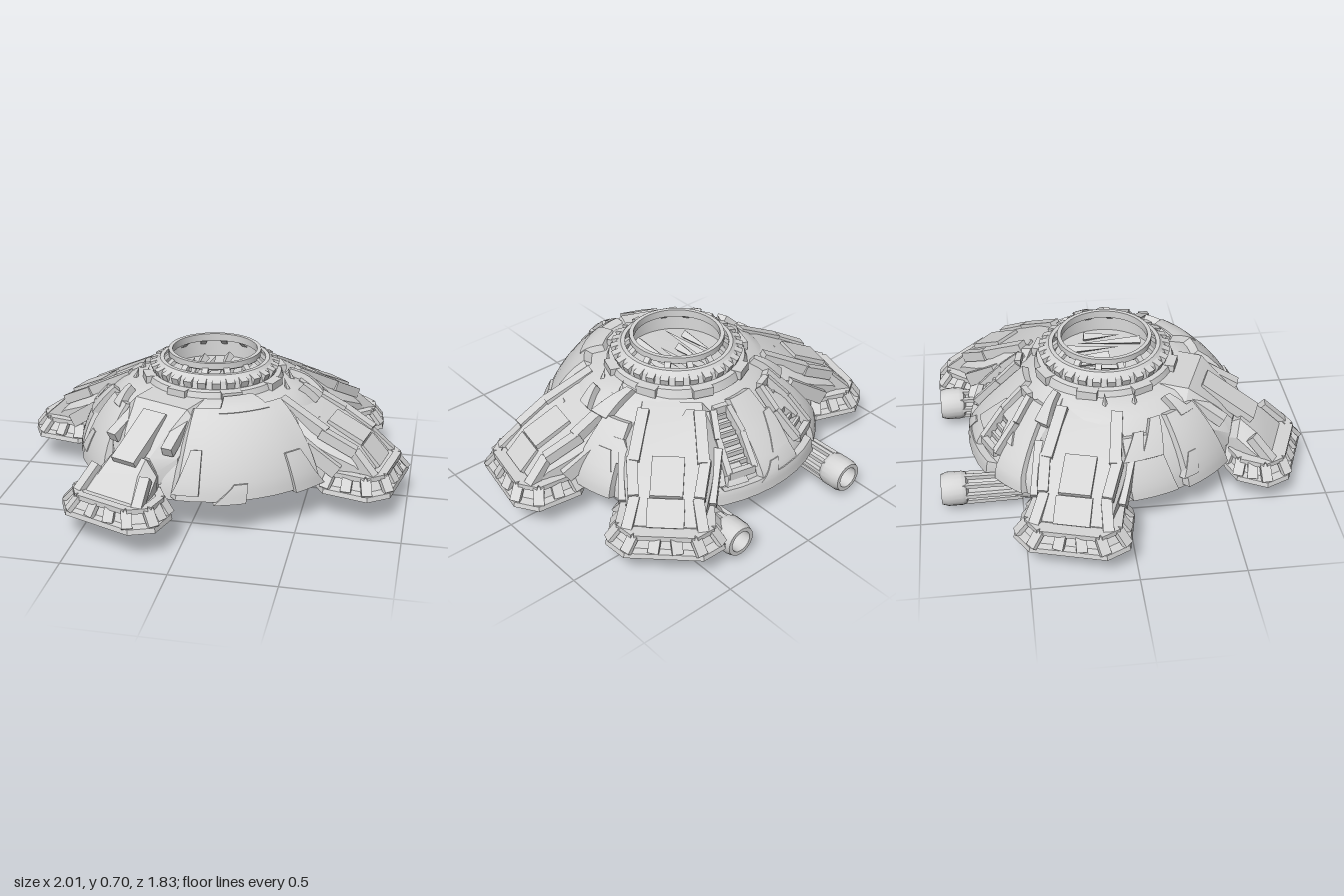
import * as THREE from 'three';
import { toCreasedNormals } from 'three/addons/utils/BufferGeometryUtils.js';

const rad = THREE.MathUtils.degToRad;
const V = (x, y, z) => new THREE.Vector3(x, y, z);

export function createModel() {
  const grey = new THREE.MeshStandardMaterial({ color: 0xd6d6d6 });
  grey.name = 'armorGrey';
  const red = new THREE.MeshStandardMaterial({ color: 0xe3655a });
  red.name = 'coreRed';

  const model = new THREE.Group();
  model.name = 'hoverBase';
  const hull = new THREE.Group();
  hull.name = 'hull';
  hull.position.z = -0.05;
  model.add(hull);

  function add(parent, geo, name, mat = grey, crease = 0.45) {
    const m = new THREE.Mesh(toCreasedNormals(geo, crease), mat);
    m.name = name;
    parent.add(m);
    return m;
  }

  // Geometry from a grid of points; turned outward by its signed volume
  function skin(rows, closed) {
    const n = rows[0].length, pts = rows.flat();
    let idx = [];
    for (let r = 0; r < rows.length - 1; r++)
      for (let i = 0; i < (closed ? n : n - 1); i++) {
        const j = (i + 1) % n, a = r * n + i, b = r * n + j;
        idx.push(a, b, b + n, a, b + n, a + n);
      }
    if (closed) {
      const last = (rows.length - 1) * n;
      for (let i = 1; i < n - 1; i++) idx.push(0, i + 1, i, last, last + i, last + i + 1);
    }
    let vol = 0;
    for (let i = 0; i < idx.length; i += 3)
      vol += pts[idx[i]].dot(V(0, 0, 0).crossVectors(pts[idx[i + 1]], pts[idx[i + 2]]));
    if (vol < 0) idx = idx.reverse();
    const g = new THREE.BufferGeometry().setFromPoints(pts);
    g.setIndex(idx);
    g.computeVertexNormals();
    return g;
  }

  // Box bar running from p to q
  function bar(parent, p, q, w, h, name) {
    const m = add(parent, new THREE.BoxGeometry(w, h, p.distanceTo(q)), name);
    m.position.copy(p).lerp(q, 0.5);
    m.quaternion.setFromRotationMatrix(new THREE.Matrix4().lookAt(q, p, V(0, 1, 0)));
  }

  // Dome surface: angle in degrees, t from rim (0) to crown (1), offset outward
  const curve = pts => new THREE.CatmullRomCurve3(pts.map(p => V(p[0], p[1], 0)));
  const frontCurve = curve([[1, .18], [.985, .25], [.92, .355], [.81, .46], [.67, .54], [.46, .57]]);
  const backCurve = curve([[1, .16], [.985, .23], [.87, .33], [.73, .42], [.6, .5], [.46, .57]]);
  function dome(deg, t, off = 0) {
    const a = rad(deg), back = Math.max(0, -Math.sin(a));
    const p = frontCurve.getPoint(t).lerp(backCurve.getPoint(t), back);
    const R = 0.67 + 0.012 * Math.cos(3 * a + 1);
    const r = p.x * R + off * (1 - 0.7 * t);
    return V(r * Math.cos(a), p.y + off * Math.min(.8, t), r * Math.sin(a));
  }
  const domeRows = [];
  for (let k = 0; k <= 12; k++)
    domeRows.push(Array.from({ length: 40 }, (_, i) => dome(i * 9, k / 12)));
  add(hull, skin(domeRows, true), 'domeShell');

  // Raised armour plate with bevelled border, optionally skewed around the dome
  function plate(a0, a1, t0, t1, off, name, skew = 0, taper = 0) {
    const n = 10, rows = [];
    const f = i => i === 0 ? 0 : i === n ? 1 : 0.05 + 0.9 * (i - 1) / (n - 2);
    for (let r = 0; r <= n; r++) {
      const row = [], v = f(r), mid = (a0 + a1) / 2 + skew * v;
      for (let c = 0; c <= n; c++) {
        const edge = r === 0 || c === 0 || r === n || c === n;
        row.push(dome(mid + (f(c) - 0.5) * (a1 - a0) * (1 - taper * v), t0 + (t1 - t0) * v, edge ? -0.01 : off));
      }
      rows.push(row);
    }
    add(hull, skin(rows, false), name);
  }
  plate(28, 97, 0, .84, .035, 'frontArmor', 0, .12);
  plate(29, 46, .0, .42, .05, 'frontArmorStep', 6, .5);
  plate(66, 80, .0, .24, .047, 'frontArmorStep', -5, .6);
  plate(84, 96, .1, .5, .047, 'frontArmorStep', -4, .6);
  plate(44, 78, .74, .93, .037, 'frontCollar', 0, .3);
  plate(126, 152, 0, .72, .035, 'rightFrontArmor', 4, .2);
  plate(154, 176, .03, .62, .03, 'rightSideArmor', 5, .2);
  plate(219, 236, 0, .8, .03, 'backSideArmor', 3, .3);
  plate(252, 275, 0, .85, .035, 'backArmor', 0, .1);
  plate(237, 302, 0, .2, .04, 'backSkirt');
  plate(336, 358, 0, .7, .035, 'leftSideArmor', -4, .3);
  plate(290, 303, .2, .8, .03, 'backSideArmor', -2, .2);
  // Small overlapping plates
  let seed = 7;
  const rnd = () => (seed = (seed * 16807) % 2147483647) / 2147483647;
  for (let i = 0; i < 30; i++) {
    const a = i * 12 + rnd() * 4, t = .08 + rnd() * .6;
    if (a > 24 && a < 126) continue;
    plate(a, a + 6 + rnd() * 8, t, t + .14 + rnd() * .18, .04, 'detailPlate', rnd() * 16 - 8, .5);
  }
  // Slatted vents on the back
  for (const a of [243, 283]) {
    const c = [[-6, .3], [6, .3], [7, .55], [5, .76], [-5, .76], [-7, .55]].map(p => dome(a + p[0], p[1], .045));
    c.forEach((p, i) => bar(hull, p, c[(i + 1) % 6], .03, .04, 'ventFrame'));
    for (let k = 0; k < 6; k++)
      bar(hull, dome(a - 5, .36 + k * .07, .02), dome(a + 5, .36 + k * .07, .02), .014, .025, 'ventSlat');
  }

  // Toothed crown collar, and a raised band standing inside it
  const lathe = (pts, n) => new THREE.LatheGeometry(pts.map(p => new THREE.Vector2(...p)), n);
  add(hull, lathe([[.35, .55], [.335, .593], [.31, .598], [.3, .635], [.275, .66], [.255, .66], [.25, .565]], 48), 'crownCollar');
  add(hull, lathe([[.222, .665], [.232, .672], [.232, .703], [.212, .703], [.212, .665], [.222, .665]], 48), 'crownBand');
  for (let i = 0; i < 28; i++) {
    const a = i / 28 * Math.PI * 2, C = Math.cos(a), S = Math.sin(a);
    const t = add(hull, new THREE.BoxGeometry(.05, .035, .04), 'crownTooth');
    t.position.set(.295 * C, .626, .295 * S);
    t.rotation.set(0, -a, -.35, 'YXZ');
    if (i % 2) bar(hull, V(.262 * C, .64, .262 * S), V(.22 * C, .675, .22 * S), .03, .02, 'crownStrut');
  }
  for (let i = 0; i < 8; i++) {
    const a = rad(20 + i * 45);
    const b = add(hull, new THREE.BoxGeometry(.05, .045, .1), 'crownClamp');
    b.position.set(.335 * Math.cos(a), .575, .335 * Math.sin(a));
    b.rotation.y = -a;
  }
  // Blades lying inside the crown
  [[-.13, -.02, .22], [-.08, .03, .32], [-.03, -.08, .2], [.04, -.05, .26], [.09, .03, .32], [.15, 0, .18]].forEach(([x, z, l], i) => {
    const b = add(hull, new THREE.ConeGeometry(.026, l, 4), 'crownBlade');
    b.position.set(x, .595, z);
    b.rotation.x = (i % 2 ? 1 : -1) * Math.PI / 2;
  });
  // Upright fins on both shoulders
  for (const s of [-1, 1]) for (const z of [-.04, .1]) {
    const fin = add(hull, new THREE.ConeGeometry(.026, .12, 4), 'shoulderFin');
    fin.position.set(.385 * s, .55, z);
    fin.rotation.z = .3 * s;
  }

  // Legs: +x is outward, z is sideways
  function leg(deg, neck, reach) {
    const g = new THREE.Group();
    g.name = 'leg';
    g.rotation.y = -rad(deg);
    g.position.set(reach * Math.cos(rad(deg)), 0, reach * Math.sin(rad(deg)));
    hull.add(g);
    const inner = neck ? .07 : 0;
    const half = [[.975, .175], [.89, .265], [.67 + inner, .25], [.59 + inner, .16]];
    const footLine = [...half.map(([u, v]) => [u, -v]), ...half.reverse()];
    const ring = (s, y) => footLine.map(([u, v]) => V(.76 + (u - .76) * s, y, v * s));
    add(g, skin([ring(.98, .13), ring(1.03, .136), ring(1.01, .16), ring(.86, .165), ring(.7, .235)], true), 'footPad');
    // Open window frame around the sloping skirt
    const lo = ring(.98, .16), hi = ring(.78, .226);
    for (let i = 0; i < 8; i++) {
      const j = (i + 1) % 8;
      if (i === 3) continue;
      bar(g, hi[i], hi[j], .04, .025, 'footTopRim');
      const posts = i === 7 ? [0, .36, .68] : i === 1 || i === 5 ? [0, .5] : [0];
      for (const f of posts)
        bar(g, lo[i].clone().lerp(lo[j], f), hi[i].clone().lerp(hi[j], f), .05, .022, 'footPost');
    }
    // Shell: distance, bottom, shoulder and top heights, lower and upper half widths
    const sec = (u, b, m, y, wb, wt) => [[b, -wb], [m, -wb], [y, -wt], [y, wt], [m, wb], [b, wb]].map(p => V(u, p[0], p[1]));
    if (neck) {
      add(g, skin([sec(.32, .2, .5, .565, .2, .15), sec(.46, .2, .47, .56, .23, .15), sec(.6, .22, .37, .45, .19, .11), sec(.67, .25, .31, .37, .12, .08)], true), 'shoulderShell');
      add(g, skin([sec(.62, .21, .27, .32, .1, .07), sec(.71, .18, .31, .385, .15, .09), sec(.79, .17, .26, .33, .17, .1), sec(.88, .16, .2, .235, .18, .13)], true), 'ankleShell');
      bar(g, V(.5, .515, 0), V(.76, .36, 0), .13, .05, 'shinGuard');
    } else {
      add(g, skin([sec(.34, .2, .47, .545, .2, .14), sec(.5, .18, .41, .495, .22, .15), sec(.68, .18, .32, .395, .2, .14), sec(.8, .16, .27, .335, .18, .13), sec(.88, .16, .2, .24, .17, .14)], true), 'legShell');
      bar(g, V(.62, .425, 0), V(.8, .34, 0), .15, .04, 'kneePlate');
      bar(g, V(.8, .335, 0), V(.89, .24, 0), .17, .025, 'shinPlate');
    }
    for (const s of [-1, 1]) {
      bar(g, V(.4, .53, .13 * s), V(.64, .41, .16 * s), .055, .05, 'upperRail');
      bar(g, V(.78, .325, .14 * s), V(.89, .22, .17 * s), .05, .045, 'lowerRail');
      if (!neck) {
        bar(g, V(.62, .415, .17 * s), V(.79, .33, .15 * s), .05, .05, 'middleRail');
        bar(g, V(.5, .39, .22 * s), V(.72, .24, .2 * s), .05, .07, 'sideBrace');
      }
    }
  }
  leg(11, false, 0);
  leg(196, false, .01);
  leg(314, false, .022);
  leg(112, true, 0);

  // Twin cannons slung below, firing backward
  const barrel = [[0, .12], [.07, .125], [.095, .16], [.095, .22], [.075, .27], [.075, .46], [.065, .52], [.052, .55], [.052, .76], [.075, .77], [.083, .79], [.083, .86], [.074, .89], [.054, .89], [.05, .8], [0, .8]];
  for (const x of [-.38, .335]) {
    const c = new THREE.Group();
    c.name = 'cannon';
    c.position.set(x, .112, 0);
    model.add(c);
    add(c, lathe(barrel, 20).rotateX(-Math.PI / 2), 'barrel');
    for (let i = 0; i < 8; i++) {
      const a = i * Math.PI / 4, X = Math.cos(a), Y = Math.sin(a);
      bar(c, V(X * .062, Y * .062, -.5), V(X * .066, Y * .066, -.79), .022, .02, 'barrelRib');
      if (Y < .5) bar(c, V(X * .065, Y * .065, -.12), V(X * .095, Y * .095, -.21), .035, .025, 'breechClaw');
    }
    bar(c, V(0, .06, -.2), V(0, .06, -.58), .1, .08, 'cannonMount');
    const spike = add(c, new THREE.ConeGeometry(.022, .05, 4), 'breechSpike');
    spike.position.set(.01, -.087, -.18);
    spike.rotation.x = Math.PI;
  }

  // Underside hub and glowing core
  const under = new THREE.Group();
  under.name = 'underside';
  under.position.z = -.14;
  model.add(under);
  add(under, lathe([[0, .155], [.19, .155], [.2, .145], [.24, .148], [.24, .19]], 24), 'undersideHub');
  for (let i = 0; i < 10; i++) {
    const a = i / 10 * Math.PI * 2;
    bar(under, V(.17 * Math.cos(a), .153, .17 * Math.sin(a)), V(.25 * Math.cos(a), .155, .25 * Math.sin(a)), .035, .025, 'hubLug');
  }
  const core = add(under, new THREE.SphereGeometry(.047, 24, 16), 'core', red, 1);
  core.position.set(0, .122, -.035);

  return model;
}
